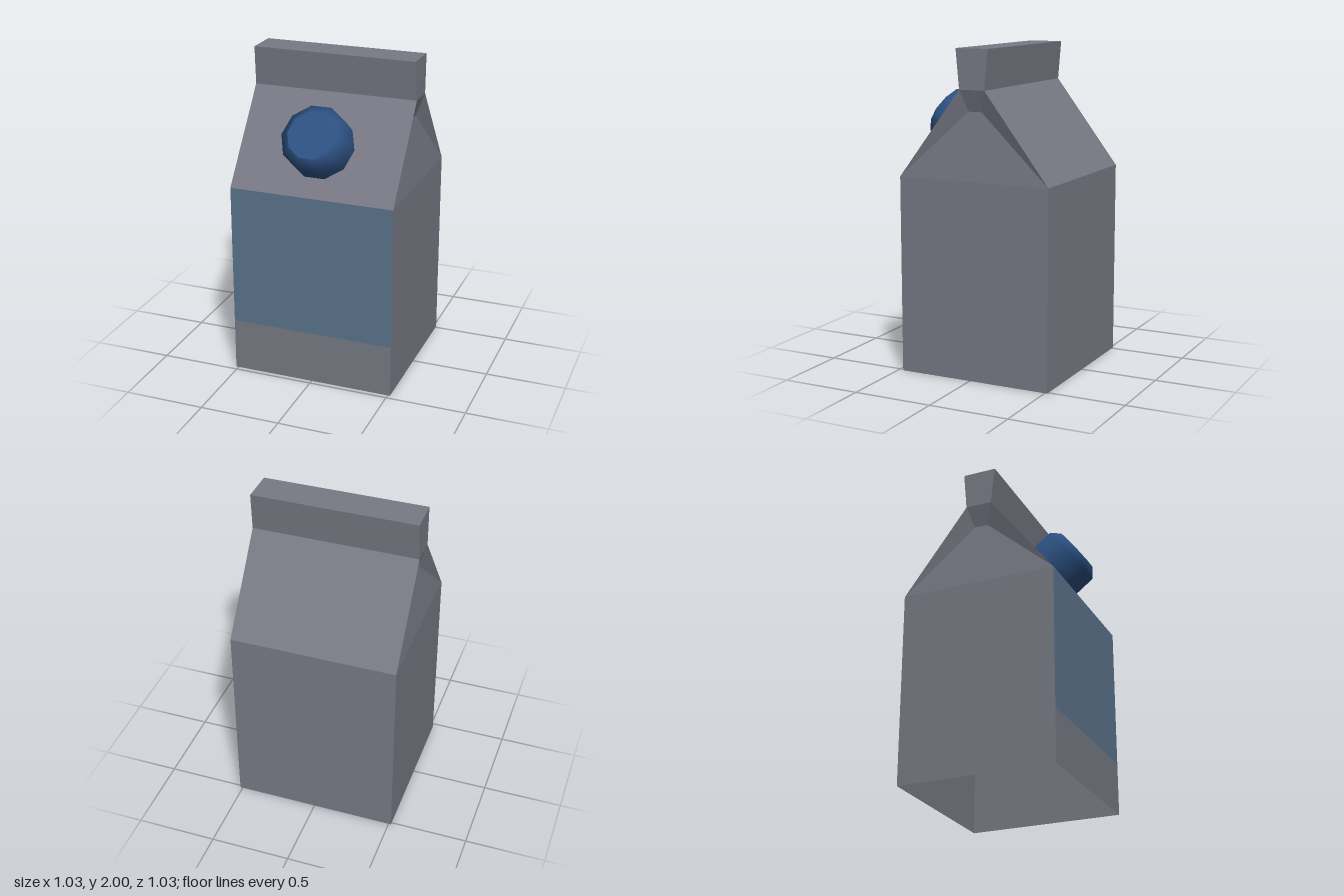
import * as THREE from 'three';
import { mergeVertices } from 'three/addons/utils/BufferGeometryUtils.js';

const HALF = 0.516, FRONT = 0.47, BACK = -0.516;
const SHOULDER = 1.22, RIDGE = 1.76, TOP = 2;
const RIDGE_F = 0.06, RIDGE_B = -0.105;

const paper = new THREE.MeshStandardMaterial({ color: 0x777984, side: THREE.DoubleSide });
const labelBlue = new THREE.MeshStandardMaterial({ color: 0x5b738b, side: THREE.DoubleSide });
const capBlue = new THREE.MeshStandardMaterial({ color: 0x2d5284 });

// Flat-faced mesh from convex polygons, corners counter-clockwise from outside
function faces(name, material, polygons) {
  const pos = [];
  for (const p of polygons)
    for (let i = 1; i < p.length - 1; i++) pos.push(...p[0], ...p[i], ...p[i + 1]);
  const g = new THREE.BufferGeometry();
  g.setAttribute('position', new THREE.Float32BufferAttribute(pos, 3));
  g.computeVertexNormals();
  const m = new THREE.Mesh(g, material);
  m.name = name;
  return m;
}

// Panel spanning the full width between two (y, z) lines
const across = (y0, z0, y1, z1) =>
  [[-HALF, y0, z0], [HALF, y0, z0], [HALF, y1, z1], [-HALF, y1, z1]];

// Same polygons on the other side of x = 0
const flip = ([x, y, z]) => [-x, y, z];
const mirrored = (polys) => polys.map((p) => p.map(flip).reverse());

export function createModel() {
  const carton = new THREE.Group();
  carton.name = 'carton';

  // Walls, open underneath
  const sideWall = [[[HALF, 0, FRONT], [HALF, 0, BACK], [HALF, SHOULDER, BACK], [HALF, SHOULDER, FRONT]]];
  carton.add(faces('walls', paper, [
    across(0, FRONT, 0.33, FRONT),
    across(SHOULDER, BACK, 0, BACK),
    ...sideWall, ...mirrored(sideWall),
  ]));
  carton.add(faces('frontLabel', labelBlue, [across(0.33, FRONT, SHOULDER, FRONT)]));

  // Sloping roof panels
  carton.add(faces('roof', paper, [
    across(SHOULDER, FRONT, RIDGE, RIDGE_F),
    across(RIDGE, RIDGE_B, SHOULDER, BACK),
  ]));

  // Gable ends folded slightly inward beneath the roof edges
  const f = [HALF, SHOULDER, FRONT], b = [HALF, SHOULDER, BACK];
  const rf = [HALF, RIDGE, RIDGE_F], rb = [HALF, RIDGE, RIDGE_B];
  const inF = [HALF - 0.042, 1.63, 0.02], inB = [HALF - 0.042, 1.63, -0.065];
  const gable = [[f, b, inB, inF], [f, inF, rf], [b, rb, inB], [inF, inB, rb, rf]];
  carton.add(faces('gableFolds', paper, [...gable, ...mirrored(gable)]));

  // Top seal, flaring towards the top
  const tf = [0.51, TOP, 0.085], tb = [0.512, TOP, -0.127];
  const sealEnd = [[rf, rb, tb, tf]];
  carton.add(faces('topSeal', paper, [
    [flip(rf), rf, tf, flip(tf)],
    [rb, flip(rb), flip(tb), tb],
    [flip(tf), tf, tb, flip(tb)],
    ...sealEnd, ...mirrored(sealEnd),
  ]));

  // Ten-sided screw cap, square to the front roof panel
  const cap = new THREE.Group();
  cap.name = 'cap';
  const profile = [[0.208, -0.01], [0.208, 0.145], [0.152, 0.196]].map(([r, y]) => new THREE.Vector2(r, y));
  // Seam welded so the side shades smoothly all round
  const lathe = new THREE.LatheGeometry(profile, 10, Math.PI / 10);
  lathe.deleteAttribute('uv');
  lathe.deleteAttribute('normal');
  const sideGeometry = mergeVertices(lathe);
  sideGeometry.computeVertexNormals();
  const side = new THREE.Mesh(sideGeometry, capBlue);
  side.name = 'capSide';
  const lid = new THREE.Mesh(new THREE.CircleGeometry(0.152, 10), capBlue);
  lid.name = 'capLid';
  lid.rotation.x = -Math.PI / 2;
  lid.position.y = 0.196;
  cap.add(side, lid);
  cap.position.set(-0.003, 1.481, 0.271);
  cap.rotation.x = Math.atan2(RIDGE - SHOULDER, FRONT - RIDGE_F);
  carton.add(cap);

  return carton;
}
